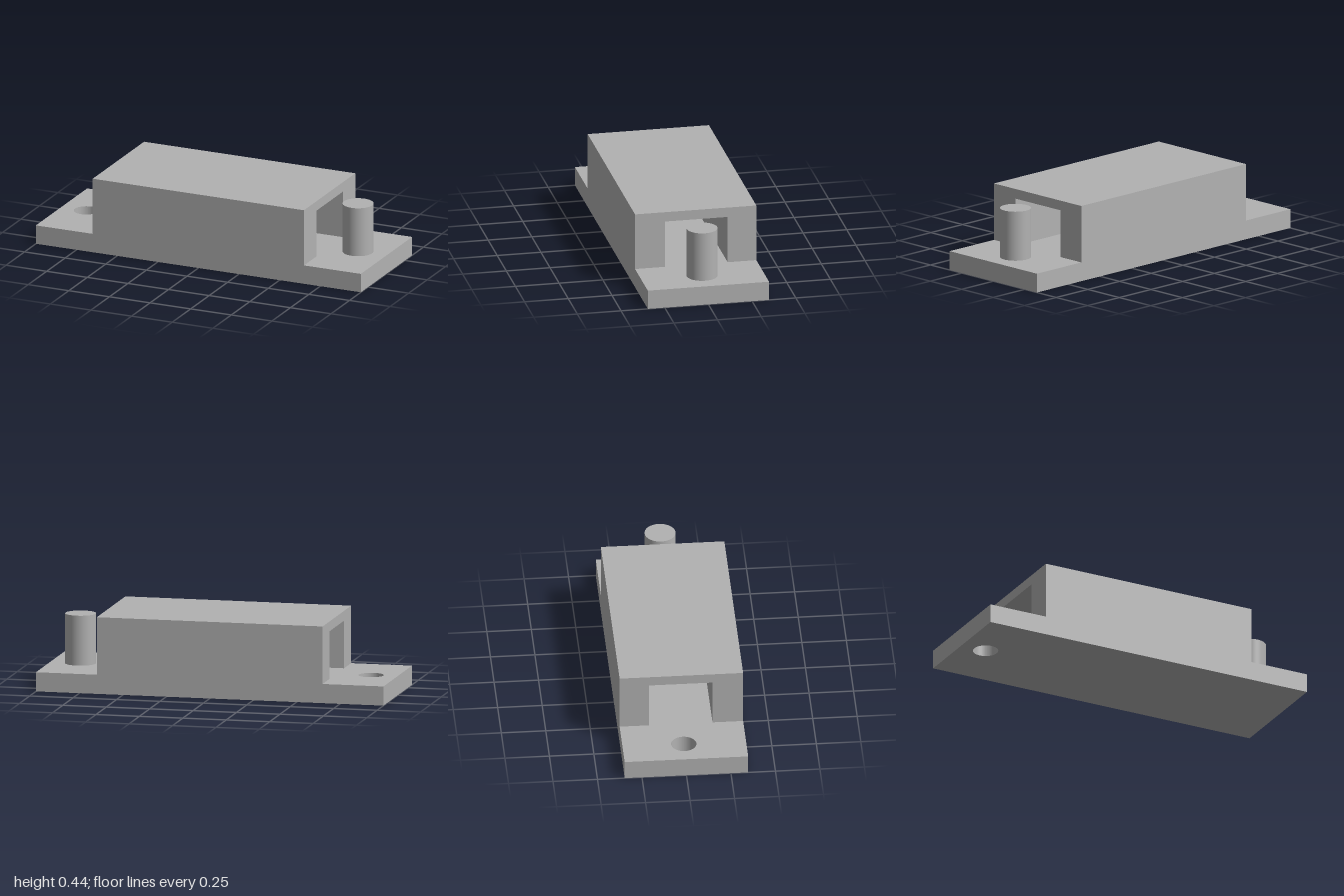
import * as THREE from 'three';

const BASE_TOP = 0.109, TOP = 0.436, HALF_DEPTH = 0.347;

export function createModel() {
  const model = new THREE.Group();
  model.name = 'channelBracket';
  const grey = new THREE.MeshStandardMaterial({ color: 0xb2b2b2 });
  grey.name = 'grey';

  const add = (name, geometry) => {
    const mesh = new THREE.Mesh(geometry, grey);
    mesh.name = name;
    model.add(mesh);
    return mesh;
  };

  // Flat base plate with a round through-hole at one end
  const plate = new THREE.Shape([
    new THREE.Vector2(-1, -HALF_DEPTH), new THREE.Vector2(1, -HALF_DEPTH),
    new THREE.Vector2(1, HALF_DEPTH), new THREE.Vector2(-1, HALF_DEPTH),
  ]);
  plate.holes.push(new THREE.Path().absarc(-0.848, 0.003, 0.071, 0, Math.PI * 2, true));
  const plateGeometry = new THREE.ExtrudeGeometry(plate, {
    depth: BASE_TOP, bevelEnabled: false, curveSegments: 64,
  });
  plateGeometry.rotateX(-Math.PI / 2);
  add('basePlate', plateGeometry);

  // Inverted U housing, its tunnel running along x (profile x is -z)
  const housing = new THREE.Shape([
    [-HALF_DEPTH, BASE_TOP], [-0.175, BASE_TOP], [-0.175, 0.38], [0.183, 0.38],
    [0.183, BASE_TOP], [HALF_DEPTH, BASE_TOP], [HALF_DEPTH, TOP], [-HALF_DEPTH, TOP],
  ].map(([x, y]) => new THREE.Vector2(x, y)));
  const housingGeometry = new THREE.ExtrudeGeometry(housing, { depth: 1.3, bevelEnabled: false });
  housingGeometry.translate(0, 0, -0.65).rotateY(Math.PI / 2);
  add('housing', housingGeometry);

  // Upright pin at the other end, sunk slightly into the plate
  const pinBottom = 0.09, pinTop = 0.393;
  const pin = add('pin', new THREE.CylinderGeometry(0.087, 0.087, pinTop - pinBottom, 64));
  pin.position.set(0.825, (pinTop + pinBottom) / 2, 0);

  return model;
}
